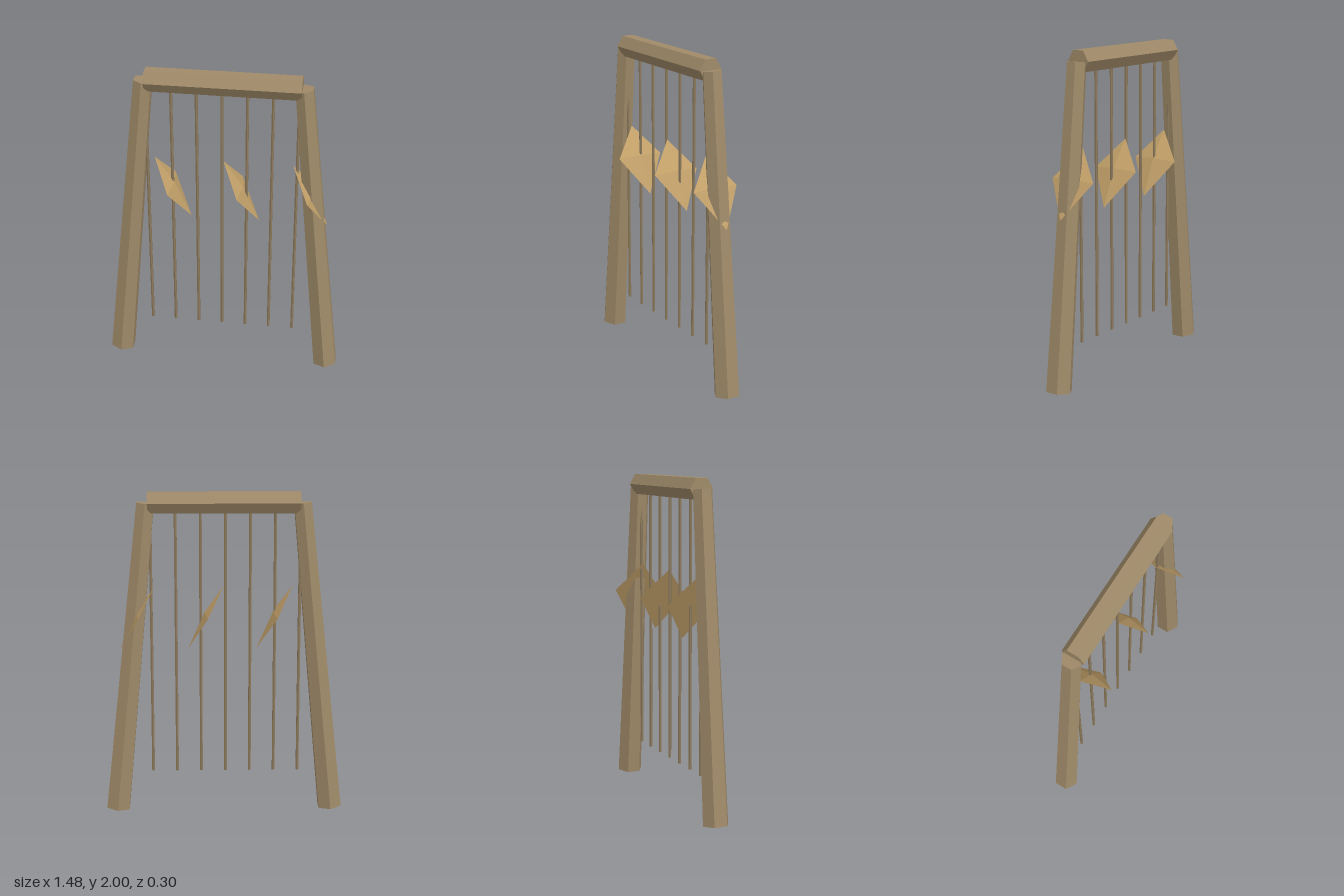
import * as THREE from 'three';

const mat = (name, color) => {
  const m = new THREE.MeshStandardMaterial({ color, flatShading: true });
  m.name = name;
  return m;
};

// Six-sided log with ridges facing +z and -z
const log = (top, bottom, length) => new THREE.CylinderGeometry(top, bottom, length, 6);

// Kite-shaped blade with a shallow raised centre, hung at a slant
function bladeGeometry() {
  const front = [0, 0, 0.15], back = [0, 0, -0.15];
  const top = [-0.099, 0.177, 0], tip = [0.121, -0.217, 0];
  const peak = [0.02, 0.011, 0];
  const faces = [
    front, tip, peak, tip, back, peak, back, top, peak, top, front, peak,
    front, top, tip, top, back, tip, // flat underside
  ];
  const g = new THREE.BufferGeometry();
  g.setAttribute('position', new THREE.Float32BufferAttribute(faces.flat(), 3));
  g.computeVertexNormals();
  return g;
}

export function createModel() {
  const model = new THREE.Group();
  model.name = 'hangingFrame';
  const wood = mat('wood', 0xa08b69);
  const cord = mat('cord', 0x8c795c);
  const tan = mat('tan', 0xc2a069);

  const add = (name, geometry, material, x, y) => {
    const mesh = new THREE.Mesh(geometry, material);
    mesh.name = name;
    mesh.position.set(x, y, 0);
    model.add(mesh);
    return mesh;
  };

  // Leaning, tapered legs
  const dx = 0.197, dy = 1.926;
  const legGeometry = log(0.06, 0.081, Math.hypot(dx, dy));
  for (const s of [-1, 1]) {
    const leg = add(s > 0 ? 'leftLeg' : 'rightLeg', legGeometry, wood, s * 0.571, 0.972);
    leg.rotation.z = s * Math.atan2(dx, dy);
  }

  // Top beam
  add('beam', log(0.072, 0.072, 0.92), wood, 0, 1.9375).rotation.z = Math.PI / 2;

  // Row of hanging cords
  const cordGeometry = log(0.01, 0.01, 1.67);
  for (let i = 0; i < 7; i++) add('cord' + (i + 1), cordGeometry, cord, -0.461 + i * 0.151, 1.085);

  // Slanted blades among the cords
  const blade = bladeGeometry();
  for (let i = 0; i < 3; i++) add('blade' + (i + 1), blade, tan, -0.318 + i * 0.419, 1.254);

  return model;
}
